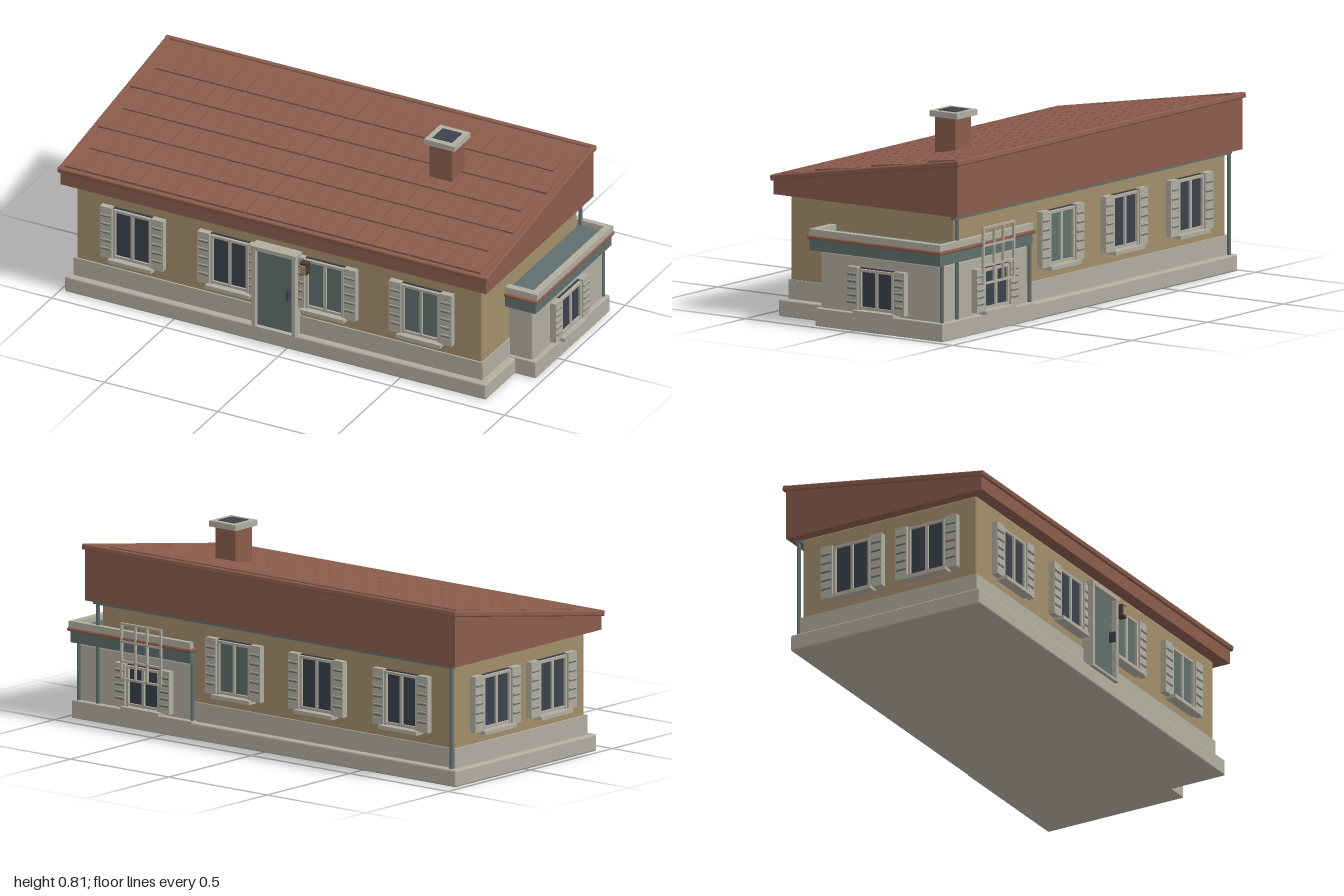
import * as THREE from 'three';
import { RoundedBoxGeometry } from 'three/addons/geometries/RoundedBoxGeometry.js';

const mat = (name, color, side = THREE.FrontSide) => {
  const m = new THREE.MeshStandardMaterial({ color, side });
  m.name = name;
  return m;
};

export function createModel() {
  const stone = mat('pale stone', 0xb0ad9f);
  const wall = mat('ochre plaster', 0xa28d6b);
  const red = mat('clay red', 0x8a5c4c);
  const teal = mat('grey teal', 0x5f6f6d);
  const glass = mat('dark glass', 0x3c414b);
  const brown = mat('dark brown', 0x4a3a32);

  const house = new THREE.Group();
  house.name = 'house';

  const add = (parent, name, geometry, material, x = 0, y = 0, z = 0) => {
    const mesh = new THREE.Mesh(geometry, material);
    mesh.name = name;
    mesh.position.set(x, y, z);
    parent.add(mesh);
    return mesh;
  };
  // Box given by its minimum and maximum corners, optionally with rounded edges
  const box = (parent, name, material, x0, x1, y0, y1, z0, z1, r = 0) => {
    const s = [x1 - x0, y1 - y0, z1 - z0];
    const g = r ? new RoundedBoxGeometry(...s, 2, r) : new THREE.BoxGeometry(...s);
    return add(parent, name, g, material, (x0 + x1) / 2, (y0 + y1) / 2, (z0 + z1) / 2);
  };
  const pipe = (name, x, z, y0, y1) =>
    add(house, name, new THREE.CylinderGeometry(0.008, 0.008, y1 - y0, 10), teal, x, (y0 + y1) / 2, z);

  // Foundation, plinth and walls
  box(house, 'foundation', stone, -0.98, 0.88, 0, 0.068, -0.43, 0.43, 0.008);
  box(house, 'plinth', stone, -0.955, 0.85, 0.06, 0.145, -0.402, 0.402);
  box(house, 'mainWalls', wall, -0.945, 0.845, 0.1, 0.485, -0.395, 0.395, 0.008);

  // Side annex, running into the back of the house
  box(house, 'annexBase', stone, 0.36, 0.97, 0, 0.072, -0.43, 0.185, 0.004);
  box(house, 'annexWalls', stone, 0.38, 0.95, 0.05, 0.297, -0.408, 0.172, 0.008);
  box(house, 'annexFascia', teal, 0.37, 0.98, 0.3, 0.345, -0.425, 0.205);
  box(house, 'annexTrim', red, 0.36, 0.99, 0.345, 0.36, -0.437, 0.213, 0.006);
  box(house, 'annexDeck', teal, 0.38, 0.97, 0.355, 0.364, -0.42, 0.19);
  box(house, 'annexParapetSide', stone, 0.955, 0.985, 0.358, 0.385, -0.43, 0.203);
  box(house, 'annexParapetFront', stone, 0.37, 0.955, 0.358, 0.385, 0.173, 0.203);
  box(house, 'annexParapetBack', stone, 0.37, 0.955, 0.358, 0.385, -0.43, -0.408);

  // Single-pitch roof body, extruded along the house
  const profile = new THREE.Shape([
    [0.445, 0.483], [0.445, 0.545], [-0.445, 0.695], [-0.445, 0.483],
  ].map(([z, y]) => new THREE.Vector2(z, y)));
  const roofGeo = new THREE.ExtrudeGeometry(profile, { depth: 1.88, bevelEnabled: false });
  roofGeo.rotateY(-Math.PI / 2);
  add(house, 'roofBody', roofGeo, red, 0.89, 0, 0);

  // Sloping roof covering with edge rolls and staggered tiles
  const roof = new THREE.Group();
  roof.name = 'roofCovering';
  roof.position.set(-0.05, 0.622, 0);
  roof.rotation.x = Math.atan(0.15 / 0.9);
  house.add(roof);
  box(roof, 'roofSlab', red, -0.945, 0.945, -0.009, 0.006, -0.455, 0.455);
  for (const s of [-1, 1]) {
    box(roof, 'edgeRoll', red, -0.95, 0.95, -0.01, 0.013, s * 0.452 - 0.01, s * 0.452 + 0.01, 0.006);
    box(roof, 'vergeRoll', red, s * 0.938 - 0.01, s * 0.938 + 0.01, -0.01, 0.013, -0.455, 0.455, 0.006);
  }
  const tileGeo = new THREE.BoxGeometry(0.076, 0.009, 0.134);
  for (let row = 0; row < 6; row++) {
    const odd = row % 2;
    const count = odd ? 23 : 22;
    for (let i = 0; i < count; i++) {
      const x = (odd ? -0.93 : -0.89) + (i + 0.5) * 0.08;
      const tile = add(roof, 'roofTile', tileGeo, red, x, 0.008, -0.318 + row * 0.1375);
      tile.rotation.x = -0.025;
    }
  }

  // Chimney
  box(house, 'chimneyStack', red, 0.381, 0.485, 0.6, 0.79, -0.138, -0.036, 0.004);
  box(house, 'chimneyCap', stone, 0.366, 0.5, 0.785, 0.808, -0.157, -0.024);
  box(house, 'chimneyOpening', glass, 0.39, 0.476, 0.806, 0.81, -0.133, -0.048);

  // Window facing +z of its group: panes, frame, mullion, sill and louvred shutters
  function addWindow(x, y, z, turn, h, pane) {
    const w = new THREE.Group();
    w.name = 'window';
    w.position.set(x, y, z);
    w.rotation.y = turn;
    house.add(w);
    const t = h / 2;
    box(w, 'windowSurround', glass, -0.087, 0.087, -t, t, -0.005, 0.008);
    box(w, 'windowPane', pane, -0.076, 0.076, -t + 0.01, t - 0.01, 0.008, 0.012);
    for (const s of [-1, 1]) {
      box(w, 'frameSide', stone, s * 0.078 - 0.005, s * 0.078 + 0.005, -t, t - 0.004, 0, 0.022);
      box(w, 'frameRail', stone, -0.082, 0.082, s * (t - 0.009) - 0.005, s * (t - 0.009) + 0.005, 0, 0.021);
      const a = s * 0.113;
      box(w, 'shutter', stone, a - 0.026, a + 0.026, -t - 0.002, t + 0.002, 0, 0.026);
      for (let i = 0; i < 5; i++) {
        const sy = (i - 2) * h * 0.165;
        box(w, 'shutterGap', teal, a - 0.022, a + 0.022, sy - 0.003, sy + 0.003, 0.02, 0.0275);
        box(w, 'shutterSlat', stone, a - 0.022, a + 0.022, sy + 0.003, sy + 0.008, 0.02, 0.03);
      }
    }
    box(w, 'mullion', stone, -0.006, 0.006, -t + 0.01, t - 0.01, 0, 0.02);
    box(w, 'windowSill', stone, -0.097, 0.097, -t - 0.014, -t + 0.001, 0, 0.043);
  }
  const tall = 0.22, low = 0.167, midTall = 0.305, midLow = 0.169;
  [[-0.69, glass], [-0.26, glass], [0.16, teal], [0.585, teal]].forEach(([x, pane]) =>
    addWindow(x, midTall, 0.395, 0, tall, pane));
  [[-0.69, glass], [-0.26, glass], [0.16, teal]].forEach(([x, pane]) =>
    addWindow(x, midTall, -0.395, Math.PI, tall, pane));
  for (const z of [-0.16, 0.18]) addWindow(-0.945, midTall, z, -Math.PI / 2, tall, glass);
  addWindow(0.95, midLow, -0.11, Math.PI / 2, low, glass);
  addWindow(0.61, midLow, -0.408, Math.PI, low, glass);

  // Open frame standing in front of the annex back
  const guard = new THREE.Group();
  guard.name = 'backGuardFrame';
  guard.position.set(0.61, midTall, -0.437);
  house.add(guard);
  for (const x of [-0.1, -0.03, 0.03, 0.1])
    box(guard, 'guardPost', stone, x - 0.004, x + 0.004, -0.11, 0.11, -0.005, 0.005);
  for (const y of [-0.11, -0.04, 0.04, 0.11])
    box(guard, 'guardRail', stone, -0.104, 0.104, y - 0.004, y + 0.004, -0.005, 0.005);

  // Front door with frame, handle and wall lamp
  box(house, 'doorLeaf', teal, -0.135, 0.035, 0.07, 0.42, 0.39, 0.425);
  for (const x of [-0.138, 0.038])
    box(house, 'doorJamb', stone, x - 0.008, x + 0.008, 0.07, 0.425, 0.39, 0.445);
  box(house, 'doorLintel', stone, -0.15, 0.05, 0.413, 0.43, 0.39, 0.447);
  box(house, 'doorStep', stone, -0.146, 0.046, 0.064, 0.074, 0.39, 0.445);
  box(house, 'doorHandle', glass, 0.008, 0.018, 0.227, 0.27, 0.42, 0.452, 0.003);
  box(house, 'wallLamp', brown, 0.066, 0.1, 0.36, 0.412, 0.42, 0.45, 0.003);
  box(house, 'lampPane', wall, 0.071, 0.095, 0.367, 0.402, 0.449, 0.456);

  // Back gutter and downpipes
  box(house, 'backGutter', teal, -0.955, 0.87, 0.468, 0.484, -0.42, -0.395);
  pipe('downpipeLeft', -0.945, -0.412, 0.06, 0.48);
  pipe('downpipeRight', 0.85, -0.412, 0.06, 0.48);
  pipe('downpipeAnnexInner', 0.372, -0.412, 0.06, 0.305);
  pipe('downpipeAnnexOuter', 0.948, -0.412, 0.05, 0.305);

  return house;
}
